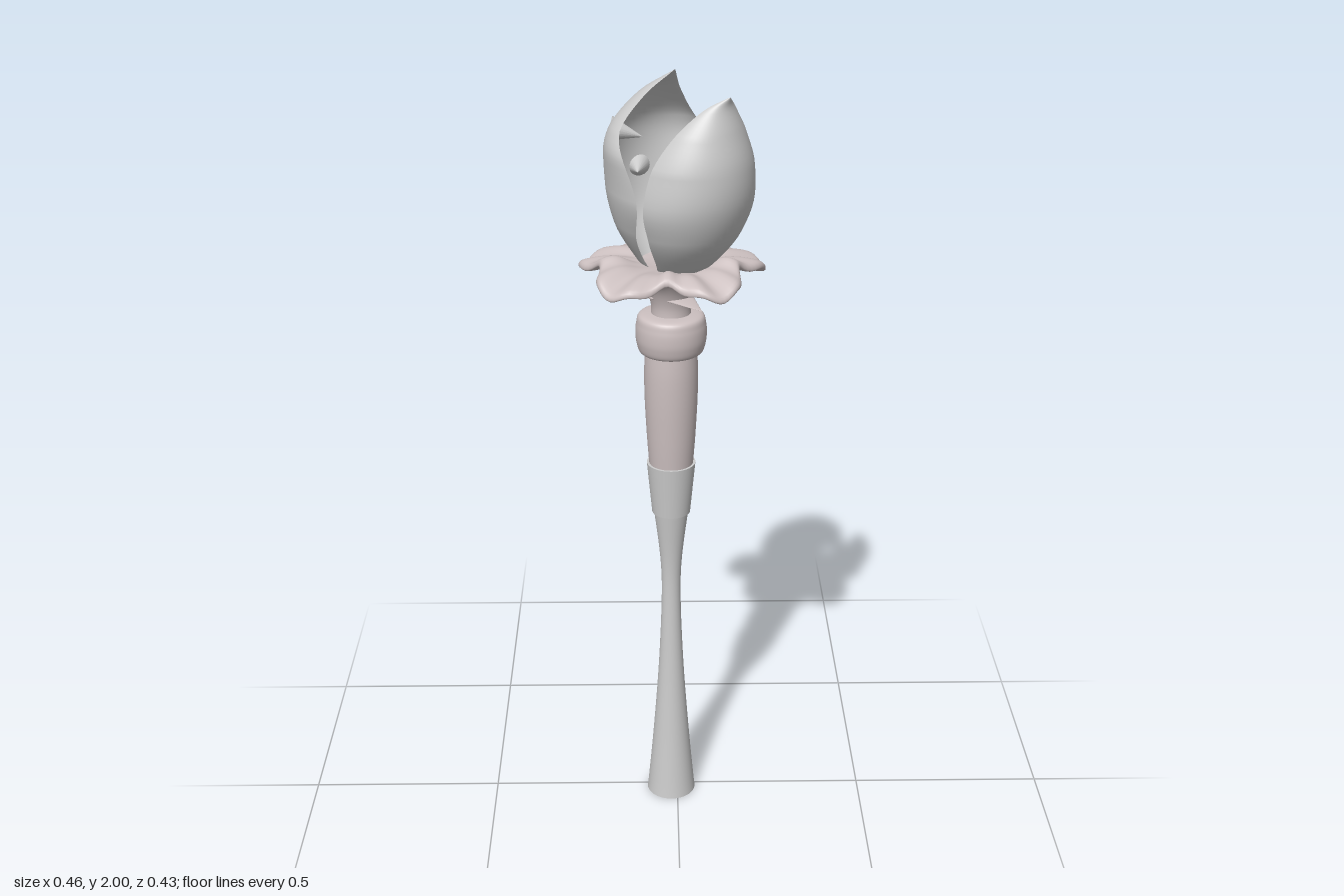
import * as THREE from 'three';
import { mergeVertices } from 'three/addons/utils/BufferGeometryUtils.js';
import { ParametricGeometry } from 'three/addons/geometries/ParametricGeometry.js';

const grey = new THREE.MeshStandardMaterial({ color: 0xcccccc, side: THREE.DoubleSide });
const pink = new THREE.MeshStandardMaterial({ color: 0xccc0c0, side: THREE.DoubleSide });
const V = (x, y, z) => new THREE.Vector3(x, y, z);

function part(name, geometry, material) {
  const mesh = new THREE.Mesh(geometry, material);
  mesh.name = name;
  return mesh;
}

// Turned shape from [radius, y] points, smoothed by a spline
function turned(points, rows = 24, sides = 40) {
  const curve = new THREE.SplineCurve(points.map(([r, y]) => new THREE.Vector2(r, y)));
  const profile = curve.getPoints(rows).map((p) => new THREE.Vector2(Math.max(p.x, 0), p.y));
  return new THREE.LatheGeometry(profile, sides);
}

// Cupped petal: rows are [y, spine distance, edge distance, half width]
function petal(name, rows, turn) {
  const spine = new THREE.CatmullRomCurve3(rows.map(([y, s, e]) => V(s, y, e)));
  const width = new THREE.CatmullRomCurve3(rows.map(([, , , w]) => V(w, 0, 0)));
  const surface = (depth, direction) => new ParametricGeometry((u, v, target) => {
    const { x: s, y, z: e } = spine.getPoint(v);
    const a = direction * Math.PI * (0.5 - u);
    target.set(e + (s - e) * depth * Math.cos(a), y, width.getPoint(v).x * Math.sin(a));
  }, 28, 36);
  const group = new THREE.Group();
  group.name = name;
  group.add(part('petalOuterSide', surface(1, 1), grey), part('petalInnerSide', surface(0.9, -1), grey));
  group.rotation.y = turn;
  return group;
}

// Cone pointing from a base on the petal wall to a tip
function spike(base, tip, radius) {
  const direction = tip.clone().sub(base);
  const mesh = part('spike', new THREE.ConeGeometry(radius, direction.length(), 20), grey);
  mesh.position.copy(base).add(tip).multiplyScalar(0.5);
  mesh.quaternion.setFromUnitVectors(V(0, 1, 0), direction.normalize());
  return mesh;
}

// Five-lobed, wavy flower collar
function flowerGeometry() {
  const lathe = turned([[0.05, 1.39], [0.05, 1.43], [0.066, 1.475], [0.095, 1.508], [0.14, 1.524],
    [0.185, 1.515], [0.205, 1.515], [0.195, 1.533], [0.14, 1.545], [0.08, 1.535], [0, 1.525]], 50, 120);
  lathe.deleteAttribute('uv');
  lathe.deleteAttribute('normal');
  const geometry = mergeVertices(lathe, 1e-5);
  const pos = geometry.attributes.position;
  for (let i = 0; i < pos.count; i++) {
    const x = pos.getX(i), z = pos.getZ(i);
    const a = Math.atan2(z, x), lobe = Math.cos(5 * (a + 1.53));
    const k = THREE.MathUtils.smoothstep(Math.hypot(x, z), 0.06, 0.2);
    const grow = 1 + k * (0.14 * lobe + 0.03 * Math.cos(2 * a + 0.4) - 0.02 * Math.cos(10 * (a + 1.53)));
    const wave = k * (-0.014 * lobe + 0.006 * Math.cos(15 * a + 0.5) + 0.005 * Math.sin(3 * a));
    pos.setXYZ(i, x * grow, pos.getY(i) + wave, z * grow);
  }
  geometry.computeVertexNormals();
  return geometry;
}

export function createModel() {
  const model = new THREE.Group();
  model.name = 'flowerTorch';
  model.position.set(-0.017, 0, 0.012);

  // Hollow flared shaft with a small nick in its back lower edge
  const shaft = turned([[0.065, 0], [0.06, 0.05], [0.047, 0.2], [0.033, 0.4], [0.025, 0.6],
    [0.028, 0.72], [0.044, 0.86]], 30);
  const pos = shaft.attributes.position;
  for (let i = 0; i < pos.count; i++) {
    if (pos.getY(i) < 0.001 && pos.getZ(i) < -0.0645) pos.setY(i, 0.07);
  }
  model.add(part('shaft', shaft, grey));

  // Sleeve, grip and round collar
  const sleeve = [[0.028, 0.86], [0.049, 0.862], [0.062, 1.0], [0.04, 1.0]];
  model.add(part('sleeve', new THREE.CylinderGeometry(0.062, 0.049, 0.14, 40), grey));
  model.children.at(-1).position.y = (sleeve[0][1] + sleeve[3][1]) / 2;
  model.add(part('grip', turned([[0.056, 1.0], [0.061, 1.07], [0.066, 1.17], [0.067, 1.25], [0.064, 1.31]]), pink));
  model.add(part('collar', turned([[0.06, 1.3], [0.078, 1.306], [0.086, 1.33], [0.088, 1.353],
    [0.086, 1.378], [0.078, 1.4], [0.045, 1.406]], 36), pink));

  // Three thin sepals under the flower
  for (let i = 0; i < 3; i++) {
    const leaf = new THREE.ConeGeometry(0.04, 0.11, 16, 6).rotateZ(-Math.PI / 2).scale(1, 0.14, 1);
    leaf.translate(0.09, 1.452, 0);
    const sepal = part('sepal', leaf, pink);
    sepal.rotation.y = Math.PI + i * Math.PI * 2 / 3;
    model.add(sepal);
  }
  model.add(part('flowerCollar', flowerGeometry(), pink));

  // Closed petal curling over the centre, and open petal facing it
  model.add(petal('closedPetal', [[1.5, 0.06, 0, 0.045], [1.55, 0.1, 0.015, 0.075], [1.62, 0.147, 0, 0.118],
    [1.71, 0.172, -0.035, 0.15], [1.8, 0.168, 0, 0.152], [1.865, 0.145, 0.045, 0.125],
    [1.94, 0.085, 0.03, 0.062], [2.0, -0.01, -0.012, 0.002]], Math.PI * 0.75));
  model.add(petal('openPetal', [[1.5, 0.06, 0, 0.045], [1.55, 0.118, 0.035, 0.085], [1.62, 0.175, 0.055, 0.13],
    [1.71, 0.21, 0.062, 0.156], [1.8, 0.214, 0.075, 0.142], [1.88, 0.197, 0.108, 0.098],
    [1.94, 0.182, 0.15, 0.042], [1.965, 0.186, 0.184, 0.002]], -Math.PI / 4));

  // Spikes on the inner petal walls
  model.add(
    spike(V(-0.145, 1.85, -0.045), V(-0.065, 1.83, -0.04), 0.03),
    spike(V(-0.08, 1.735, -0.14), V(-0.08, 1.735, -0.07), 0.03),
    spike(V(0.165, 1.76, 0.03), V(0.057, 1.76, -0.012), 0.033),
    spike(V(0.135, 1.85, 0.12), V(0.047, 1.87, 0.023), 0.033),
    spike(V(0.045, 1.74, 0.17), V(0.04, 1.74, 0.075), 0.02),
  );

  const root = new THREE.Group();
  root.name = 'torch';
  root.add(model);
  return root;
}
